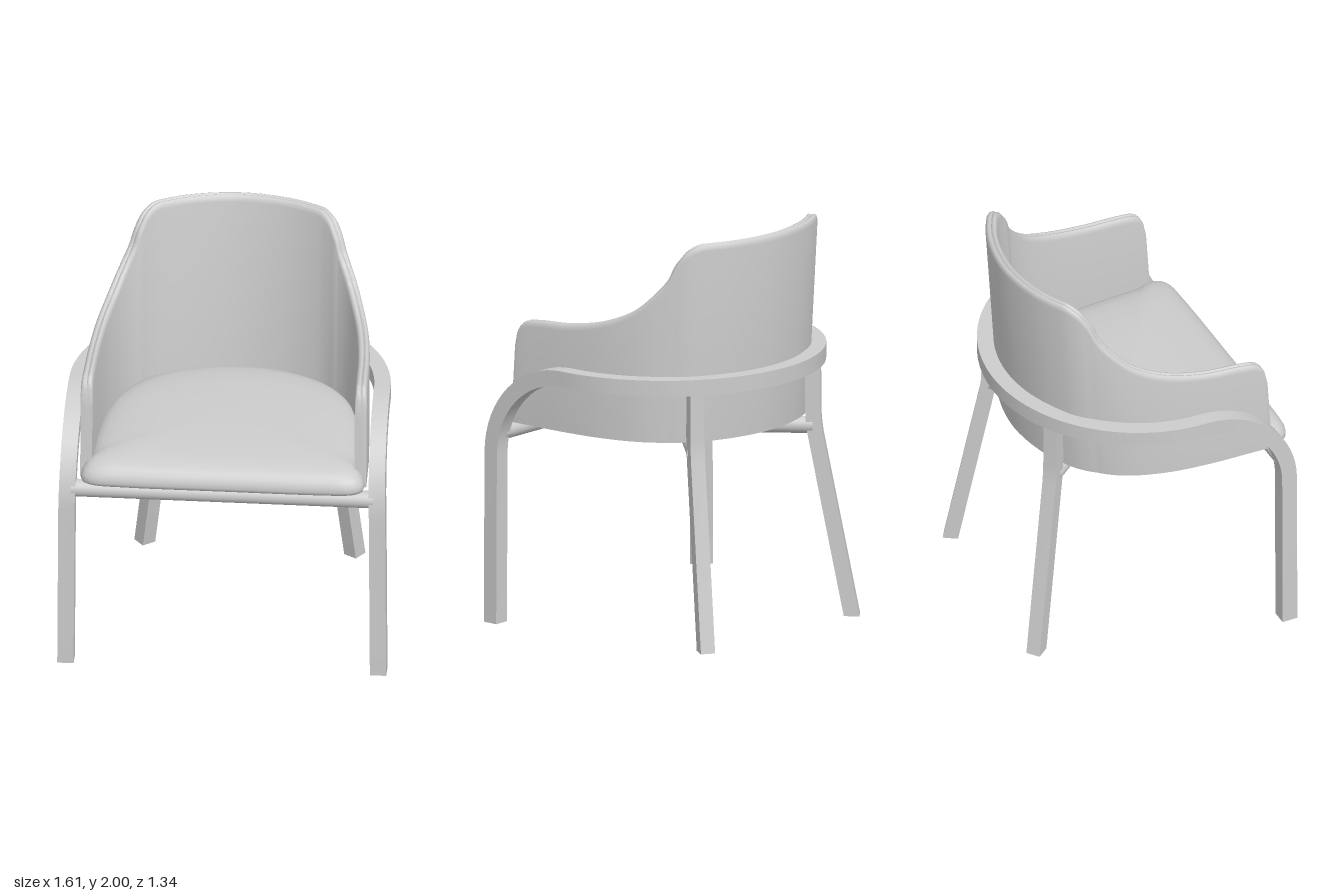
import * as THREE from 'three';
import { toCreasedNormals } from 'three/addons/utils/BufferGeometryUtils.js';

const V = (x, y, z) => new THREE.Vector3(x, y, z);
const grey = new THREE.MeshStandardMaterial({ color: 0xcccccc });
grey.name = 'plainGrey';

// Solid through a row of equal closed rings, capped at both ends and facing outwards
function loft(rings, crease) {
  const n = rings[0].length;
  const pts = rings.flat();
  const tris = [];
  for (let i = 0; i < rings.length - 1; i++) {
    for (let j = 0; j < n; j++) {
      const a = i * n + j, b = i * n + (j + 1) % n;
      tris.push([a, b, b + n], [a, b + n, a + n]);
    }
  }
  [[0, 1], [rings.length - 1, -1]].forEach(([r, dir]) => {
    const c = V(0, 0, 0);
    rings[r].forEach(p => c.add(p));
    const k = pts.push(c.divideScalar(n)) - 1;
    for (let j = 0; j < n; j++) {
      const a = r * n + j, b = r * n + (j + 1) % n;
      tris.push(dir > 0 ? [k, b, a] : [k, a, b]);
    }
  });
  let volume = 0;
  const cross = V(0, 0, 0);
  for (const [a, b, c] of tris) volume += pts[a].dot(cross.crossVectors(pts[b], pts[c]));
  if (volume < 0) tris.forEach(t => t.reverse());
  const g = new THREE.BufferGeometry().setFromPoints(pts);
  g.setIndex(tris.flat());
  return toCreasedNormals(g, crease);
}

// Full symmetric row from its left half, which ends on the middle plane
function mirrored(half) {
  return half.concat(half.slice(0, -1).reverse().map(p => V(-p.x, p.y, p.z)));
}

// Wraparound back: outer plan and top height in one curve, section leaning backwards
function shellGeometry() {
  const half = [
    [0.70, 1.42, 0.555], [0.70, 1.48, 0.543], [0.699, 1.515, 0.51], [0.696, 1.53, 0.43],
    [0.688, 1.545, 0.235], [0.665, 1.585, 0.04], [0.625, 1.65, -0.11], [0.585, 1.73, -0.20],
    [0.54, 1.82, -0.267], [0.51, 1.91, -0.30], [0.48, 1.965, -0.335], [0.42, 2, -0.385],
    [0.25, 2, -0.465], [0, 2, -0.505],
  ].map(p => V(...p));
  const curve = new THREE.CatmullRomCurve3(mirrored(half), false, 'centripetal');
  // Distance inwards and drop from the top; a seam groove runs between two rolled edges
  const lip = [[0, 0.03], [0.003, 0.014], [0.01, 0.003], [0.018, 0], [0.025, 0.003], [0.029, 0.009],
    [0.033, 0.003], [0.04, 0], [0.048, 0.003], [0.055, 0.014], [0.058, 0.03]];
  const rings = [];
  for (let i = 0; i <= 140; i++) {
    const p = curve.getPointAt(i / 140), t = curve.getTangentAt(i / 140);
    const n = V(t.z, 0, -t.x).normalize();
    const inward = V(-p.x, 0, 0.1 - p.z);
    if (n.dot(inward) < 0) n.negate();
    const at = (d, y) => V(p.x + n.x * d, y, p.z + n.z * d - 0.065 * (y - 1));
    rings.push([at(0, 1), ...lip.map(([d, drop]) => at(d, Math.min(2, p.y) - drop)), at(0.058, 1)]);
  }
  return loft(rings, 0.7);
}

// Domed seat pad: one D-shaped outline scaled inwards as it rises
function cushionGeometry() {
  const half = [[0.5, 0.668], [0.64, 0.657], [0.685, 0.625], [0.694, 0.575], [0.672, 0.5], [0.662, 0.3],
    [0.635, 0.04], [0.575, -0.16], [0.45, -0.325], [0.25, -0.435]].map(([x, z]) => V(x, 0, z));
  const outline = [V(0, 0, 0.67), ...half, V(0, 0, -0.475),
    ...half.slice().reverse().map(p => V(-p.x, 0, p.z))];
  const plan = new THREE.CatmullRomCurve3(outline, true, 'centripetal').getPoints(96).slice(0, -1);
  const levels = [[0.97, 0.998], [0.992, 1.006], [1, 1.022], [0.995, 1.045], [0.975, 1.07], [0.945, 1.09],
    [0.9, 1.106], [0.82, 1.12], [0.7, 1.131], [0.5, 1.14], [0.25, 1.145]];
  return loft(levels.map(([s, y]) => plan.map(p => V(p.x * s, y, 0.1 + (p.z - 0.1) * s))), 0.9);
}

// Bent frame: front leg, bend into the arm, round the back and down the other side
function railGeometry() {
  const half = [V(0.765, 0, 0.6), V(0.76, 0.86, 0.6)];
  for (let i = 1; i <= 16; i++) {
    const a = i / 16 * Math.PI / 2;
    half.push(V(0.76 - 0.015 * i / 16, 0.86 + 0.435 * Math.sin(a), 0.16 + 0.44 * Math.cos(a)));
  }
  for (let i = 1; i <= 28; i++) {
    const a = i / 28 * Math.PI / 2;
    half.push(V(0.745 * Math.cos(a), 1.295, 0.16 - 0.735 * Math.sin(a)));
  }
  const path = mirrored(half);
  const rings = path.map((p, i) => {
    const t = path[Math.min(i + 1, path.length - 1)].clone().sub(path[Math.max(i - 1, 0)]).normalize();
    if (i === 0 || i === path.length - 1) t.set(0, i ? -1 : 1, 0);
    const n = V(p.x, 0, Math.min(0, p.z - 0.16)).normalize();
    n.addScaledVector(t, -n.dot(t)).normalize();
    const b = V(0, 0, 0).crossVectors(t, n);
    return [[1, 1], [-1, 1], [-1, -1], [1, -1]].map(([u, v]) =>
      p.clone().addScaledVector(n, u * 0.04).addScaledVector(b, v * 0.04));
  });
  return loft(rings, 0.5);
}

// Rear leg: upright under the rail, then splayed outwards to the foot
function rearLegGeometry(top, foot) {
  const out = foot.clone().sub(top).setY(0).normalize();
  const side = V(-out.z, 0, out.x);
  const levels = [[1.27, 0], [1.04, 0.004], [0.98, 0.02], [0.92, 0.06], [0, 1]];
  return loft(levels.map(([y, k]) => {
    const c = top.clone().lerp(foot, k).setY(y);
    return [[1, 1], [-1, 1], [-1, -1], [1, -1]].map(([u, v]) =>
      c.clone().addScaledVector(out, u * 0.038).addScaledVector(side, v * 0.036));
  }), 0.5);
}

// Round bar between two points
function barGeometry(a, b, radius) {
  const g = new THREE.CylinderGeometry(radius, radius, a.distanceTo(b), 24);
  const dir = b.clone().sub(a).normalize();
  g.applyQuaternion(new THREE.Quaternion().setFromUnitVectors(V(0, 1, 0), dir));
  const m = a.clone().add(b).multiplyScalar(0.5);
  return g.translate(m.x, m.y, m.z);
}

export function createModel() {
  const chair = new THREE.Group();
  chair.name = 'armchair';
  const add = (name, geometry) => {
    const mesh = new THREE.Mesh(geometry, grey);
    mesh.name = name;
    chair.add(mesh);
  };
  add('backShell', shellGeometry());
  add('seatCushion', cushionGeometry());
  add('frontLegsAndArmRail', railGeometry());

  // The rear legs sit slightly unevenly around the rail
  const leftTop = V(0.445, 0, -0.415), rightTop = V(-0.365, 0, -0.47);
  add('rearLegLeft', rearLegGeometry(leftTop, V(0.55, 0, -0.575)));
  add('rearLegRight', rearLegGeometry(rightTop, V(-0.482, 0, -0.62)));

  // Bars under the seat
  const y = 0.953;
  add('frontBar', barGeometry(V(-0.74, y, 0.59), V(0.74, y, 0.59), 0.043));
  add('longDiagonalBar', barGeometry(rightTop.clone().setY(y), V(0.43, y, 0.575), 0.042));
  add('shortDiagonalBar', barGeometry(leftTop.clone().setY(y), V(0.02, y, 0.03), 0.042));
  return chair;
}
